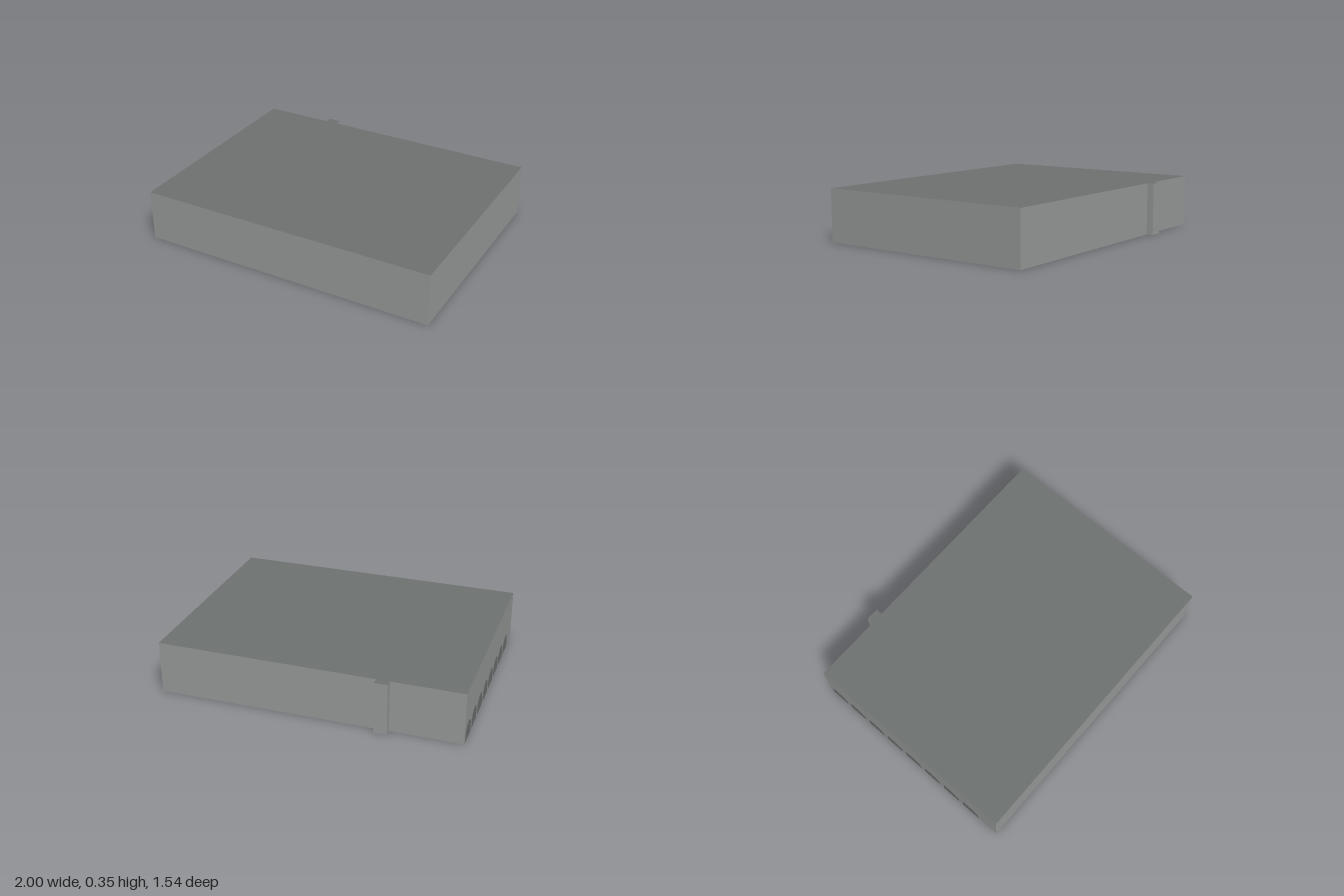
import * as THREE from 'three';

// Slightly uneven ground plan as [x, z], with the narrow pier on the back wall
const PLAN = [
  [-1, 0.767], [1, 0.76], [0.992, -0.728],
  [-0.45, -0.724], [-0.45, -0.77], [-0.535, -0.77], [-0.535, -0.723], [-1, -0.722],
];
const roofY = (x) => 0.347 + 0.003 * x;

const wallMat = new THREE.MeshStandardMaterial({ color: 0x979b99, side: THREE.DoubleSide });
wallMat.name = 'wall grey';
const darkMat = new THREE.MeshStandardMaterial({ color: 0x6e7270, side: THREE.DoubleSide });
darkMat.name = 'dark grey';

function named(name, geometry, material) {
  const mesh = new THREE.Mesh(geometry, material);
  mesh.name = name;
  return mesh;
}

// One upright panel between two plan corners
function wallPanel([ax, az], [bx, bz]) {
  const g = new THREE.BufferGeometry();
  g.setAttribute('position', new THREE.Float32BufferAttribute([
    ax, 0, az, bx, 0, bz, bx, roofY(bx), bz, ax, roofY(ax), az,
  ], 3));
  g.setIndex([0, 1, 2, 0, 2, 3]);
  g.computeVertexNormals();
  return g;
}

export function createModel() {
  const model = new THREE.Group();
  model.name = 'building';

  // Thin outer walls, open underneath
  const walls = new THREE.Group();
  walls.name = 'walls';
  const names = ['frontWall', 'leftWall', 'backWallLong', 'pierLeft', 'pierBack', 'pierRight', 'backWallShort', 'rightWall'];
  PLAN.forEach((p, i) => {
    walls.add(named(names[i], wallPanel(p, PLAN[(i + 1) % PLAN.length]), wallMat));
  });
  model.add(walls);

  // Flat roof over the whole plan
  const roof = new THREE.ShapeGeometry(new THREE.Shape(PLAN.map(([x, z]) => new THREE.Vector2(x, -z))));
  roof.rotateX(-Math.PI / 2);
  const pos = roof.attributes.position;
  for (let i = 0; i < pos.count; i++) pos.setY(i, roofY(pos.getX(i)));
  roof.computeVertexNormals();
  model.add(named('roof', roof, darkMat));

  // Row of arched openings along the foot of the right wall, as thin plates
  const w = 0.065, spring = 0.06, top = 0.11;
  const arch = new THREE.Shape();
  arch.moveTo(-w, 0);
  arch.lineTo(w, 0);
  arch.lineTo(w, spring);
  arch.absellipse(0, spring, w, top - spring, 0, Math.PI, false);
  arch.lineTo(-w, 0);
  const archGeo = new THREE.ExtrudeGeometry(arch, { depth: 0.005, bevelEnabled: false, curveSegments: 8 });
  archGeo.rotateY(-Math.PI / 2);
  const arches = new THREE.Group();
  arches.name = 'arches';
  for (let i = 0; i < 8; i++) {
    const m = named('arch', archGeo, darkMat);
    m.position.set(-0.9975, 0.002, -0.63 + i * 0.168);
    arches.add(m);
  }
  model.add(arches);

  return model;
}
